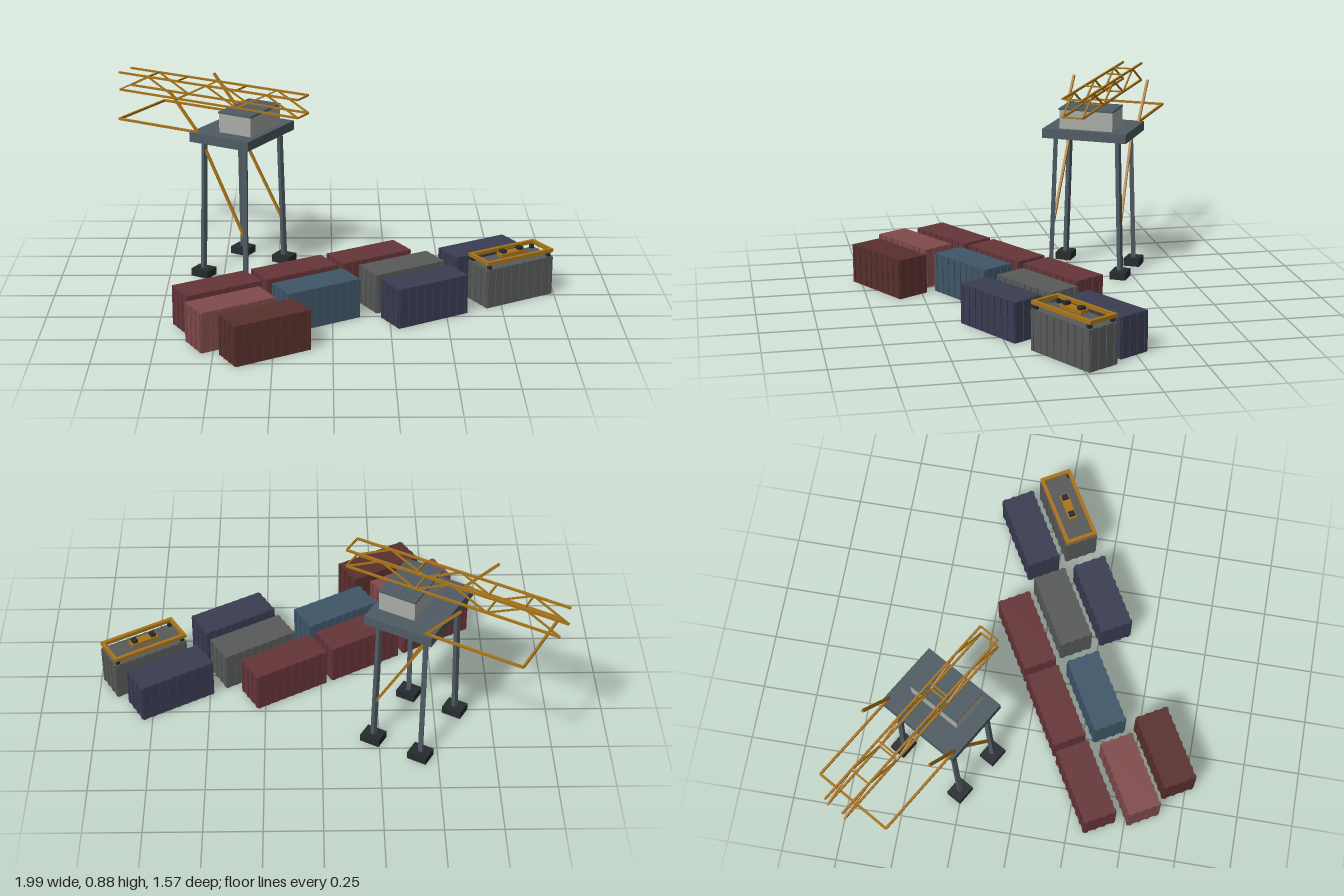
import * as THREE from 'three';

const mat = (color) => new THREE.MeshStandardMaterial({ color, flatShading: true });
const steel = mat(0x4f5b63);
const dark = mat(0x262b2e);
const gold = mat(0xa8741a);
const houseGrey = mat(0xa9aca6);

function box(parent, name, size, pos, material) {
  const mesh = new THREE.Mesh(new THREE.BoxGeometry(...size), material);
  mesh.position.set(...pos);
  mesh.name = name;
  parent.add(mesh);
  return mesh;
}

// square bar running from point a to point b
function bar(parent, name, a, b, t, material) {
  const from = new THREE.Vector3(...a), to = new THREE.Vector3(...b);
  const mesh = box(parent, name, [t, t, from.distanceTo(to)], [0, 0, 0], material);
  mesh.position.addVectors(from, to).multiplyScalar(0.5);
  mesh.lookAt(to);
  return mesh;
}

const L = 0.36, W = 0.156, H = 0.18;

function createContainer(x, z, color) {
  const g = new THREE.Group();
  g.name = 'container';
  const m = mat(color);
  const d = 0.004;
  box(g, 'containerBody', [L - 2 * d, H, W - 2 * d], [0, H / 2, 0], m);
  // pressed ribs on the long sides and the ends
  for (const s of [-1, 1]) {
    for (let i = 0; i < 9; i++)
      box(g, 'sideRib', [0.014, H - 0.004, d], [(i - 4) * 0.042, H / 2, s * (W - d) / 2], m);
    for (let i = 0; i < 4; i++)
      box(g, 'endRib', [d, H - 0.004, 0.014], [s * (L - d) / 2, H / 2, (i - 1.5) * 0.042], m);
  }
  g.position.set(x, 0, z);
  g.rotation.y = Math.PI / 6;
  return g;
}

// lifting frame resting on one container
function createSpreader(x, z) {
  const g = new THREE.Group();
  g.name = 'spreader';
  const y = 0.208, t = 0.016;
  for (const s of [-1, 1]) {
    box(g, 'sideBeam', [0.355, t, t], [0, y, s * 0.067], gold);
    box(g, 'endBeam', [t, t, 0.15], [s * 0.17, y, 0], gold);
    for (const e of [-1, 1])
      box(g, 'twistLock', [0.016, 0.022, 0.016], [s * 0.16, 0.19, e * 0.062], dark);
    box(g, 'sheave', [0.024, 0.016, 0.028], [s * 0.045, 0.221, 0], dark);
  }
  box(g, 'headBlock', [0.13, t, 0.04], [0, y, 0], gold);
  g.position.set(x, 0, z);
  g.rotation.y = Math.PI / 6;
  return g;
}

function createCrane() {
  const g = new THREE.Group();
  g.name = 'crane';

  // splayed legs on block feet
  const legPoint = (sx, sz, y) => {
    const k = y / 0.65;
    return [sx * (0.115 - 0.007 * k), y, sz * (0.17 - 0.021 * k)];
  };
  for (const sz of [-1, 1]) {
    for (const sx of [-1, 1]) {
      bar(g, 'leg', legPoint(sx, sz, 0.02), legPoint(sx, sz, 0.65), 0.02, steel);
      box(g, 'foot', [0.09, 0.035, 0.075], [sx * 0.115, 0.0175, sz * 0.17], dark);
    }
    bar(g, 'legBrace', legPoint(-1, sz, 0.615), legPoint(1, sz, 0.21), 0.011, gold);
  }

  // platform and machinery house
  box(g, 'deck', [0.312, 0.043, 0.4], [0, 0.6685, 0], steel);
  box(g, 'machineryHouse', [0.167, 0.092, 0.254], [0.042, 0.736, 0], houseGrey);
  box(g, 'houseRoof', [0.172, 0.008, 0.258], [0.042, 0.782, 0], steel);

  // boom: two zigzag trusses side by side
  const x0 = -0.648, panel = 0.162, low = 0.788, high = 0.871, hz = 0.047;
  for (const s of [-1, 1]) {
    const z = s * hz;
    for (const y of [low, high])
      bar(g, 'boomChord', [x0, y, z], [x0 + 6 * panel, y, z], 0.009, gold);
    for (let i = 0; i < 6; i++) {
      const ya = i % 2 ? high : low, yb = i % 2 ? low : high;
      bar(g, 'boomLacing', [x0 + i * panel, ya, z], [x0 + (i + 1) * panel, yb, z], 0.007, gold);
    }
  }
  for (const i of [1, 2, 4, 6]) {
    const x = x0 + i * panel;
    const y = i === 1 ? high : low;
    bar(g, 'boomTie', [x, y, -hz], [x, y, hz], 0.007, gold);
    if (i !== 1) bar(g, 'boomTie', [x, high, -hz], [x, high, hz], 0.007, gold);
  }

  // outrigger frame at deck level, with raking struts
  const fx = -0.556, fz = 0.182, fy = 0.692;
  for (const s of [-1, 1]) {
    bar(g, 'outriggerArm', [fx, fy, s * fz], [-0.12, fy, s * fz], 0.01, gold);
    bar(g, 'rakingStrut', [-0.12, 0.69, s * fz], [-0.27, 0.864, s * fz], 0.011, gold);
  }
  bar(g, 'outriggerEnd', [fx, fy, -fz], [fx, fy, fz], 0.01, gold);

  g.position.set(-0.409, 0, -0.348);
  g.rotation.y = -Math.PI / 6;
  return g;
}

export function createModel() {
  const root = new THREE.Group();
  root.name = 'containerYard';

  const red = 0x663538, pink = 0x804a4c, brown = 0x58302c;
  const blue = 0x3f5668, grey = 0x585a5a, navy = 0x3a3c52;
  const stack = [
    [-0.50, 0.303, red], [-0.168, 0.111, red], [0.166, -0.08, red],
    [-0.432, 0.493, pink], [-0.283, 0.631, brown], [-0.07, 0.281, blue],
    [0.31, 0.063, grey], [0.402, 0.236, navy],
    [0.674, -0.15, navy], [0.799, 0.008, grey],
  ];
  for (const c of stack) root.add(createContainer(...c));
  root.add(createSpreader(0.799, 0.008));
  root.add(createCrane());
  return root;
}
